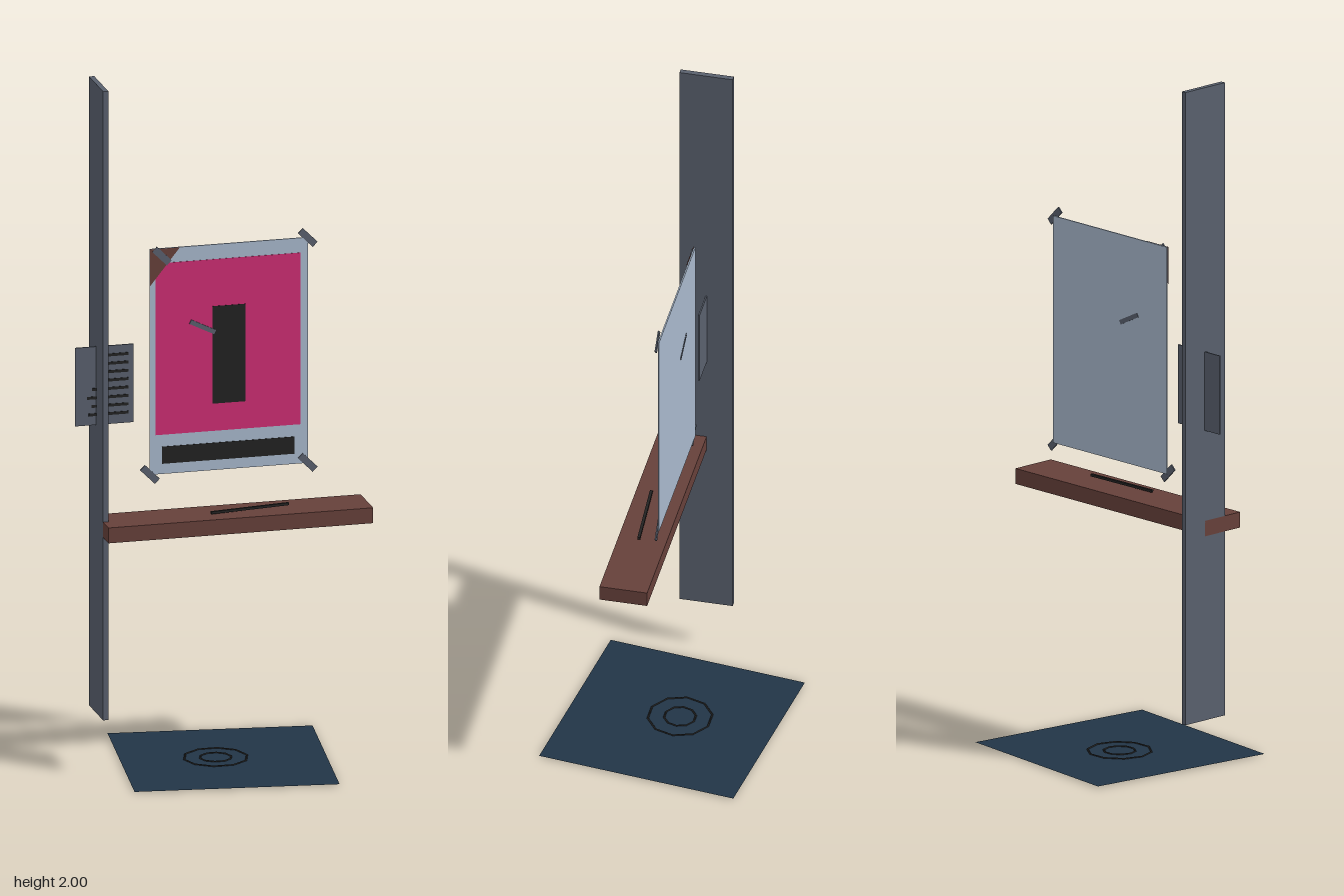
import * as THREE from 'three';

const mat = (name, color, side = THREE.FrontSide) => {
  const m = new THREE.MeshStandardMaterial({ color, side });
  m.name = name;
  return m;
};

export function createModel() {
  const model = new THREE.Group();
  model.name = 'posterCorner';

  const slate = mat('slateGrey', 0x59606d);
  const wood = mat('redBrownWood', 0x66403a, THREE.DoubleSide);
  const navy = mat('navyMat', 0x223547, THREE.DoubleSide);
  const paper = mat('paleBluePaper', 0xa8b8cc);
  const pink = mat('magentaInk', 0xcc2d72);
  const black = mat('blackInk', 0x222222);

  const add = (name, geometry, material, x, y, z, parent = model) => {
    const mesh = new THREE.Mesh(geometry, material);
    mesh.name = name;
    mesh.position.set(x, y, z);
    parent.add(mesh);
    return mesh;
  };
  // Box given by its limits on each axis
  const box = (name, material, [x0, x1], [y0, y1], [z0, z1], parent) =>
    add(name, new THREE.BoxGeometry(x1 - x0, y1 - y0, z1 - z0), material,
      (x0 + x1) / 2, (y0 + y1) / 2, (z0 + z1) / 2, parent);

  // Upright panel and shelf
  box('uprightPanel', slate, [-0.355, -0.34], [0.16, 2], [-0.095, 0.058]);
  box('shelf', wood, [-0.355, 0.413], [0.695, 0.74], [-0.02, 0.117]);

  // Pen lying on the shelf
  const pen = add('pen', new THREE.BoxGeometry(0.23, 0.007, 0.008), black, 0.069, 0.75, 0.064);
  pen.rotation.set(0, 0.07, 0.02);

  // Floor mat, turned slightly, with ten-sided rings
  const floorMat = add('floorMat', new THREE.PlaneGeometry(0.58, 0.58).rotateX(-Math.PI / 2), navy, 0.01, 0.003, 0);
  floorMat.rotation.y = -0.13;
  for (const radius of [0.091, 0.045]) {
    add('floorRing', new THREE.TorusGeometry(radius, 0.003, 4, 10).rotateX(Math.PI / 2), black, -0.008, 0.003, -0.019);
  }

  // Poster sheet with printed blocks
  const poster = new THREE.Group();
  poster.name = 'poster';
  model.add(poster);
  box('posterSheet', paper, [-0.2, 0.26], [0.845, 1.505], [-0.02, -0.016], poster);
  box('posterField', pink, [-0.183, 0.237], [0.96, 1.462], [-0.017, -0.0148], poster);
  box('posterFigure', black, [-0.018, 0.077], [1.04, 1.325], [-0.016, -0.0135], poster);
  box('posterCaption', black, [-0.165, 0.22], [0.875, 0.925], [-0.017, -0.0145], poster);
  const arm = add('posterFigureArm', new THREE.BoxGeometry(0.08, 0.013, 0.009), slate, -0.047, 1.267, -0.0165, poster);
  arm.rotation.z = -0.46;

  // Folded corner
  const fold = new THREE.Shape([
    new THREE.Vector2(-0.2, 1.505),
    new THREE.Vector2(-0.2, 1.397),
    new THREE.Vector2(-0.113, 1.505),
  ]);
  add('foldedCorner', new THREE.ShapeGeometry(fold), wood, 0, 0, -0.0135, poster);

  // Tape strips at the corners
  for (const [x, y] of [[-0.165, 1.483], [0.258, 1.505], [-0.2, 0.847], [0.258, 0.847]]) {
    const tape = add('tapeStrip', new THREE.BoxGeometry(0.06, 0.02, 0.004), slate, x, y, -0.0145, poster);
    tape.rotation.z = -Math.PI / 4;
  }

  // Notice card passing through the upright panel, with ruled lines
  const notice = new THREE.Group();
  notice.name = 'notice';
  model.add(notice);
  box('noticeCard', slate, [-0.416, -0.247], [1.003, 1.232], [-0.021, -0.017], notice);
  [0.07, 0.08, 0.072, 0.08, 0.105, 0.12, 0.107, 0.115].forEach((length, i) => {
    const y = 1.205 - i * 0.0245;
    box('noticeLine', black, [-0.262 - length, -0.262], [y - 0.004, y + 0.004], [-0.018, -0.0155], notice);
  });

  return model;
}
